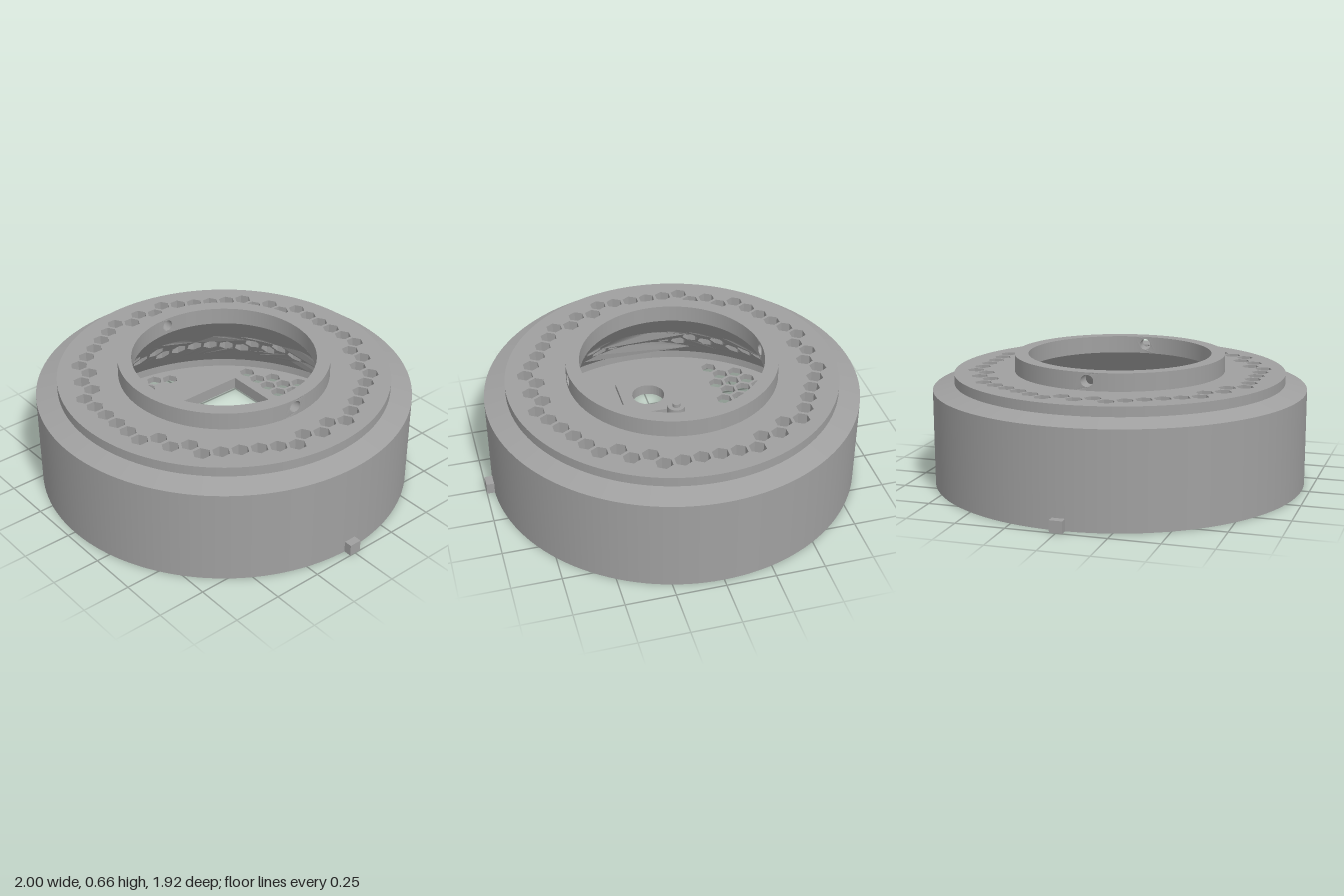
import * as THREE from 'three';

const PITCH = 0.0914, ROW = 0.0785, HEX = 0.044, SEG = 128;
const TOP = 0.57, COLLAR_TOP = 0.66, COLLAR_IN = 0.47, COLLAR_OUT = 0.54;
// Height of the funnel-shaped inner wall at radius r
const funnelY = (r) => TOP - (r - COLLAR_IN) * (0.49 / 0.43);

// Centres of a honeycomb grid that pass a test
function hexGrid(test) {
  const cells = [];
  for (let j = -11; j <= 11; j++) {
    for (let i = -11; i <= 11; i++) {
      const x = (i + (j % 2 ? 0.5 : 0)) * PITCH, z = j * ROW;
      if (test(x, z, Math.hypot(x, z))) cells.push([x, z]);
    }
  }
  return cells;
}

// Closed polygon path; plan shapes use (x, -z)
function ngon(PathType, x, z, radius, sides) {
  const pts = [];
  for (let k = 0; k < sides; k++) {
    const a = (k / sides) * Math.PI * 2 + Math.PI / 2;
    pts.push(new THREE.Vector2(x + radius * Math.cos(a), -z + radius * Math.sin(a)));
  }
  return new PathType(pts);
}

function rect(PathType, x0, x1, z0, z1) {
  return new PathType([[x0, z1], [x1, z1], [x1, z0], [x0, z0]].map(([x, z]) => new THREE.Vector2(x, -z)));
}

// Horizontal slab between two heights
function slab(shape, y0, y1) {
  const g = new THREE.ExtrudeGeometry(shape, { depth: y1 - y0, bevelEnabled: false });
  return g.rotateX(-Math.PI / 2).translate(0, y0, 0);
}

export function createModel() {
  const group = new THREE.Group();
  const grey = new THREE.MeshStandardMaterial({ color: 0xa0a0a0, side: THREE.DoubleSide });
  grey.name = 'grey';
  const add = (name, geometry) => {
    const mesh = new THREE.Mesh(geometry, grey);
    mesh.name = name;
    group.add(mesh);
    return mesh;
  };
  // Turned surface: each pair of profile points is its own sharp-edged band
  const turn = (name, profile, start = 0, length = Math.PI * 2) => {
    for (let k = 0; k + 1 < profile.length; k++) {
      const pair = [profile[k], profile[k + 1]].map(([r, y]) => new THREE.Vector2(r, y));
      add(name, new THREE.LatheGeometry(pair, Math.round(SEG * length / (Math.PI * 2)), start, length));
    }
  };

  // Outer housing
  turn('housingShell', [[0.95, 0], [0.96, 0], [0.96, 0.49], [0.85, 0.52], [0.85, TOP], [0.82, TOP]]);
  turn('collarSeat', [[0.62, TOP], [COLLAR_OUT, TOP]]);
  // Funnel-shaped inner wall
  turn('innerFunnel', [[COLLAR_IN, TOP], [0.62, funnelY(0.62)]]);
  turn('innerFunnel', [[0.82, funnelY(0.82)], [0.9, funnelY(0.9)], [0.9, 0.02]]);

  // Ring of hexagonal vents running from the top face to the funnel
  const vents = ngon(THREE.Shape, 0, 0, 0.82, SEG);
  vents.holes.push(ngon(THREE.Path, 0, 0, 0.62, SEG));
  for (const [x, z] of hexGrid((x, z, r) => r > 0.68 && r < 0.75)) {
    vents.holes.push(ngon(THREE.Path, x, z, HEX, 6));
  }
  const ventGeo = slab(vents, 0, 1);
  const p = ventGeo.attributes.position;
  for (let k = 0; k < p.count; k++) {
    p.setY(k, p.getY(k) > 0.5 ? TOP : funnelY(Math.hypot(p.getX(k), p.getZ(k))));
  }
  ventGeo.computeVertexNormals();
  add('ventRing', ventGeo);

  // Collar: two plain arcs and two short pieces with a cross hole
  const HALF = 0.12;
  for (const mid of [Math.PI / 2, Math.PI * 1.5]) {
    turn('collar', [[COLLAR_OUT, TOP], [COLLAR_OUT, COLLAR_TOP], [COLLAR_IN, COLLAR_TOP], [COLLAR_IN, TOP]],
      mid + HALF, Math.PI - 2 * HALF);
    const pts = [];
    for (let k = 0; k <= 8; k++) pts.push(new THREE.Vector2(-HALF + HALF * k / 4, TOP));
    for (let k = 8; k >= 0; k--) pts.push(new THREE.Vector2(-HALF + HALF * k / 4, COLLAR_TOP));
    const patch = new THREE.Shape(pts);
    patch.holes.push(new THREE.Path().absellipse(0, 0.618, 0.06, 0.03, 0, Math.PI * 2, true));
    const g = new THREE.ExtrudeGeometry(patch, {
      depth: COLLAR_OUT - COLLAR_IN, bevelEnabled: false, curveSegments: 20,
    });
    const q = g.attributes.position;
    for (let k = 0; k < q.count; k++) {
      const a = mid + q.getX(k), r = COLLAR_IN + q.getZ(k);
      q.setXYZ(k, r * Math.sin(a), q.getY(k), r * Math.cos(a));
    }
    g.computeVertexNormals();
    add('collarHolePiece', g);
  }

  // Base plate with window, round hole and four fields of hexagonal vents
  const base = ngon(THREE.Shape, 0, 0, 0.955, SEG);
  base.holes.push(rect(THREE.Path, -0.51, 0.51, -0.505, 0.26));
  base.holes.push(ngon(THREE.Path, 0, 0.51, 0.09, 32));
  const inField = (x, z, r) => r < 0.84 && (
    z < -0.6 ||
    (Math.abs(x) > 0.76 && Math.abs(z) < 0.25) ||
    (Math.abs(x) > 0.4 && z > 0.38));
  for (const [x, z] of hexGrid(inField)) base.holes.push(ngon(THREE.Path, x, z, HEX, 6));
  add('basePlate', slab(base, 0, 0.035));

  // Stepped frame around the window
  [[0.07, 0.035, 0.05], [0.04, 0.05, 0.065]].forEach(([w, y0, y1]) => {
    const frame = rect(THREE.Shape, -0.51 - w, 0.51 + w, -0.505 - w, 0.26 + w);
    frame.holes.push(rect(THREE.Path, -0.51, 0.51, -0.505, 0.26));
    add('windowFrame', slab(frame, y0, y1));
  });

  // Mounting pad around the round hole, with two screw posts
  const pad = rect(THREE.Shape, -0.155, 0.155, 0.355, 0.65);
  pad.holes.push(ngon(THREE.Path, 0, 0.51, 0.09, 32));
  add('mountingPad', slab(pad, 0.035, 0.06));
  for (const x of [-0.115, 0.205]) {
    const post = add('screwPost', new THREE.CylinderGeometry(0.05, 0.05, 0.06, 24));
    post.position.set(x, 0.06, 0.335);
    const pin = add('screwPin', new THREE.CylinderGeometry(0.022, 0.022, 0.02, 20));
    pin.position.set(x, 0.1, 0.33);
  }

  // Side locating tabs
  for (const s of [-1, 1]) {
    const tab = add('sideTab', new THREE.BoxGeometry(0.05, 0.06, 0.065));
    tab.position.set(s * 0.975, 0.03, 0);
  }
  return group;
}
